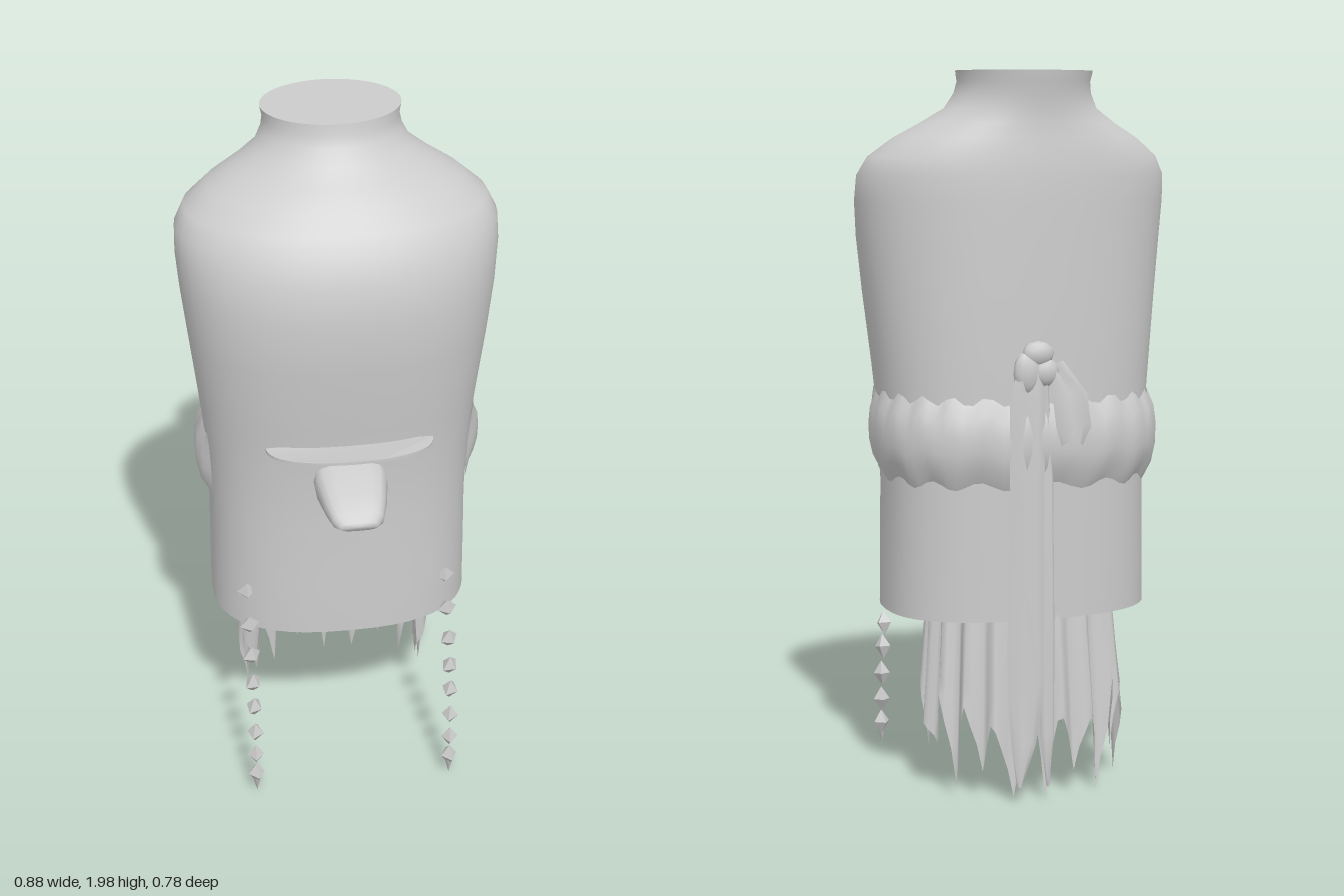
import * as THREE from 'three';

const grey = new THREE.MeshStandardMaterial({ color: 0xcccccc, side: THREE.DoubleSide });
grey.name = 'plain grey';

// Skin a list of equal-length point rows; closed rows wrap round.
function loft(rows, closed = true) {
  const n = rows[0].length, index = [];
  for (let i = 0; i < rows.length - 1; i++) {
    for (let j = 0; j < (closed ? n : n - 1); j++) {
      const k = (j + 1) % n;
      const a = i * n + j, b = i * n + k, c = a + n, d = b + n;
      index.push(a, c, b, b, c, d);
    }
  }
  const g = new THREE.BufferGeometry();
  g.setAttribute('position', new THREE.Float32BufferAttribute(rows.flat(2), 3));
  g.setIndex(index);
  g.computeVertexNormals();
  return g;
}

function part(parent, name, geometry) {
  const m = new THREE.Mesh(geometry, grey);
  m.name = name;
  parent.add(m);
  return m;
}

// Body profile: height, half width, front z, back z, squareness
const PROFILE = [
  [0.52, 0.372, 0.21, -0.33, 2.5], [0.7, 0.37, 0.21, -0.33, 2.5], [0.87, 0.368, 0.205, -0.33, 2.5],
  [1.05, 0.375, 0.21, -0.33, 2.45], [1.2, 0.39, 0.225, -0.33, 2.4], [1.4, 0.413, 0.25, -0.328, 2.3],
  [1.55, 0.43, 0.255, -0.325, 2.2], [1.65, 0.438, 0.235, -0.323, 2.15], [1.72, 0.436, 0.205, -0.32, 2.1],
  [1.77, 0.41, 0.17, -0.315, 2.1], [1.82, 0.345, 0.125, -0.308, 2.1], [1.86, 0.275, 0.08, -0.303, 2],
  [1.9, 0.212, 0.03, -0.303, 2], [1.94, 0.19, 0, -0.306, 2], [1.97, 0.184, -0.012, -0.312, 2], [2, 0.19, -0.018, -0.316, 2],
];

function profileAt(y) {
  let i = 0;
  while (i < PROFILE.length - 2 && PROFILE[i + 1][0] < y) i++;
  const a = PROFILE[i], b = PROFILE[i + 1];
  const t = THREE.MathUtils.clamp((y - a[0]) / (b[0] - a[0]), 0, 1);
  return a.map((v, k) => THREE.MathUtils.lerp(v, b[k], t));
}

const power = (v, e) => Math.sign(v) * Math.abs(v) ** (2 / e);

// Point on the body at angle a and height y, pushed out by a distance
function bodyPoint(a, y, out = 0) {
  const [, w, f, b, e] = profileAt(y);
  return [(w + out) * power(Math.cos(a), e), y, (f + b) / 2 + ((f - b) / 2 + out) * power(Math.sin(a), e)];
}

const ring = (count, fn) => Array.from({ length: count }, (_, i) => fn((i / count) * Math.PI * 2));

function addBody(model) {
  const rows = PROFILE.map(([y]) => ring(48, (a) => bodyPoint(a, y)));
  part(model, 'body', loft(rows));
  part(model, 'neckTop', loft([rows.at(-1), ring(48, () => [0, 2, -0.167])]));
  part(model, 'underside', loft([ring(48, () => [0, 0.53, -0.06]), rows[0]]));
}

// Wrapped band round the sides and back, with uneven edges
function addBand(model) {
  const bulge = [0, 0.022, 0.03, 0.03, 0.022, 0];
  const rows = bulge.map((o, r) => Array.from({ length: 49 }, (_, i) => {
    const u = i / 48, a = 0.22 - u * (Math.PI + 0.44);
    const end = Math.min(1, Math.min(u, 1 - u) * 24);
    const low = 0.9 - 0.02 * u + 0.012 * Math.sin(i * 1.1);
    const high = 1.13 - 0.02 * u + 0.013 * Math.sin(i * 1.7);
    const y = THREE.MathUtils.lerp(low, high, r / 5);
    return bodyPoint(a, y, o * end + 0.002);
  }).reverse());
  part(model, 'band', loft(rows, false));
}

// Ragged curtain hanging in a U shape from under the body
function addFringe(model) {
  const strips = 13, per = 6, n = strips * per + 1;
  const lengths = [0.2, 0.12, 0.16, 0.05, 0.1, 0.03, 0.02, 0.09, 0.02, 0.12, 0.04, 0.13, 0.18];
  const rows = [0, 0.25, 0.5, 0.75, 1].map((t) => Array.from({ length: n }, (_, i) => {
    const a = 0.6 - (i / (n - 1)) * (Math.PI + 1.2);
    const s = Math.min(strips - 1, Math.floor(i / per)), k = (i - s * per) / per;
    const tip = lengths[s], notch = 0.27 + 0.06 * Math.sin(s * 2.3);
    const bottom = THREE.MathUtils.lerp(tip, notch, Math.abs(2 * k - 1) ** 0.8);
    const pleat = 1 + 0.05 * Math.cos(k * Math.PI * 2) + 0.1 * t;
    return [0.255 * pleat * Math.cos(a), THREE.MathUtils.lerp(0.55, bottom, t), -0.13 + 0.19 * pleat * Math.sin(a) - 0.02 * t];
  }));
  part(model, 'raggedFringe', loft(rows, false));
}

// Folded cloth strip: rows of [y, centre x, half width, z]
function clothStrip(rows) {
  const folds = [0, -0.014, 0.004, -0.012, 0];
  return loft(rows.map(([y, x, w, z]) => folds.map((d, j) => [x + w * (j / 2 - 1), y + (j % 2) * 0.012, z + d])), false);
}

function addKnot(model) {
  const knot = new THREE.Group();
  knot.name = 'backKnot';
  model.add(knot);
  [[0.02, 1.25, 0.045, 0.035], [0.0, 1.2, 0.04, 0.04], [0.05, 1.2, 0.04, 0.06]].forEach(([x, y, w, h]) => {
    const m = part(knot, 'knotFold', new THREE.IcosahedronGeometry(1, 1));
    m.scale.set(w, h, 0.025);
    m.position.set(x, y, -0.34);
  });
  part(knot, 'longTail', clothStrip([
    [1.23, 0.04, 0.03, -0.338], [1.13, 0.055, 0.05, -0.355], [0.9, 0.055, 0.05, -0.357],
    [0.6, 0.06, 0.052, -0.362], [0.35, 0.06, 0.055, -0.366], [0.18, 0.07, 0.035, -0.37], [0.06, 0.085, 0.004, -0.375],
  ]));
  part(knot, 'thinTail', clothStrip([
    [1.2, 0.01, 0.02, -0.336], [0.9, 0.0, 0.02, -0.352], [0.5, 0.0, 0.022, -0.36], [0.2, 0.0, 0.02, -0.365], [0.06, 0.0, 0.003, -0.37],
  ]));
  part(knot, 'shortTail', clothStrip([
    [1.22, -0.03, 0.03, -0.34], [1.14, -0.065, 0.05, -0.358], [1.05, -0.075, 0.05, -0.362], [1.0, -0.07, 0.03, -0.362],
  ]));
}

// Blunt nose, flat underneath and sloping on top
function addNose(model) {
  const stations = [[0.17, 0.1, 0.982, 1.105], [0.24, 0.1, 0.982, 1.095], [0.32, 0.085, 0.985, 1.065], [0.37, 0.07, 0.988, 1.04], [0.388, 0.052, 0.995, 1.02]];
  const rows = stations.map(([z, w, lo, hi]) => ring(16, (a) => [w * power(Math.cos(a), 3), (lo + hi) / 2 - ((hi - lo) / 2) * power(Math.sin(a), 3), z]));
  rows.push(ring(16, () => [0, 1.007, 0.39]));
  part(model, 'nose', loft(rows));
}

// Thin curved ledge above the nose
function addLedge(model) {
  const shape = new THREE.Shape();
  shape.absellipse(0, 0, 0.23, 0.125, 0, Math.PI);
  const g = new THREE.ExtrudeGeometry(shape, { depth: 0.008, bevelEnabled: false, curveSegments: 20 });
  g.rotateX(Math.PI / 2);
  const p = g.attributes.position;
  for (let i = 0; i < p.count; i++) p.setY(i, p.getY(i) + 1.175 - 0.3 * p.getX(i) ** 2);
  g.translate(0, 0, 0.2);
  g.computeVertexNormals();
  part(model, 'browLedge', g);
}

// Hanging strings of diamond beads
function addBeads(model) {
  const path = [[0.64, 0.14], [0.56, 0.195], [0.48, 0.235], [0.4, 0.26], [0.325, 0.277], [0.24, 0.29], [0.16, 0.294], [0.09, 0.296]];
  for (const side of [-1, 1]) {
    const strand = new THREE.Group();
    strand.name = side > 0 ? 'leftBeads' : 'rightBeads';
    model.add(strand);
    path.forEach(([y, z], i) => {
      const bead = part(strand, 'bead', new THREE.OctahedronGeometry(1, 0));
      bead.scale.set(0.029, 0.037, 0.024);
      bead.position.set(side * 0.287, y, z);
      bead.rotation.set(0.35 - i * 0.04, i * 0.25, 0);
    });
    const tip = part(strand, 'beadTip', new THREE.ConeGeometry(0.012, 0.05, 4));
    tip.rotation.x = Math.PI;
    tip.position.set(side * 0.287, 0.05, 0.298);
  }
}

export function createModel() {
  const model = new THREE.Group();
  model.name = 'model';
  addBody(model);
  addBand(model);
  addKnot(model);
  addFringe(model);
  addNose(model);
  addLedge(model);
  addBeads(model);
  // Short stub under the body
  const stub = part(model, 'stub', new THREE.CylinderGeometry(0.125, 0.11, 0.1, 20));
  stub.position.set(0, 0.49, -0.08);
  return model;
}
